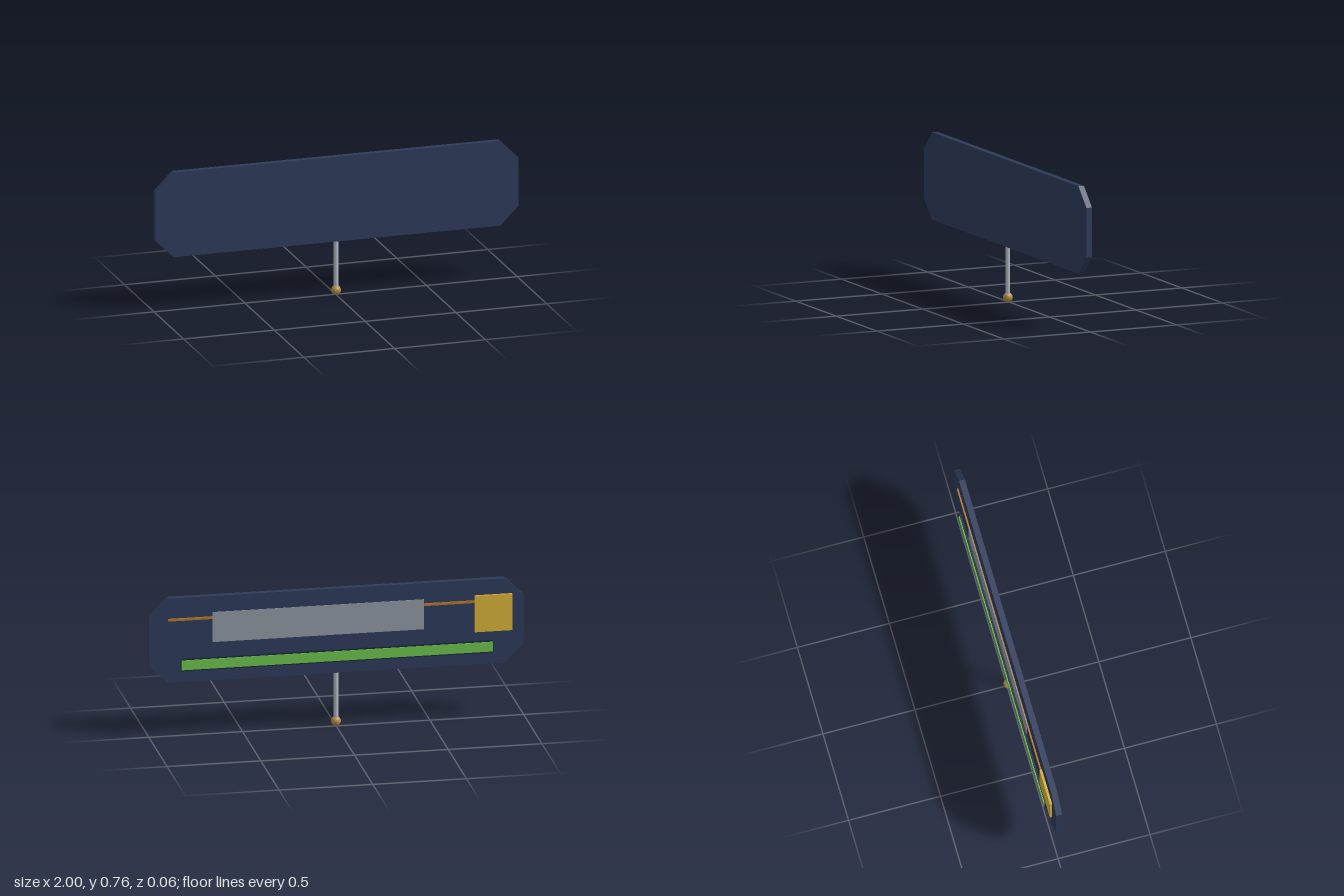
import * as THREE from 'three';

export function createModel() {
  const model = new THREE.Group();

  const add = (name, geometry, color, x = 0, y = 0, z = 0) => {
    const mesh = new THREE.Mesh(geometry, new THREE.MeshStandardMaterial({ color }));
    mesh.name = name;
    mesh.position.set(x, y, z);
    model.add(mesh);
    return mesh;
  };

  // Box given by its limits on each axis
  const addBox = (name, color, [x0, x1], [y0, y1], [z0, z1]) =>
    add(name, new THREE.BoxGeometry(x1 - x0, y1 - y0, z1 - z0), color,
      (x0 + x1) / 2, (y0 + y1) / 2, (z0 + z1) / 2);

  // Main board with clipped corners
  const w = 1, bottom = 0.296, top = 0.761, cut = 0.1;
  const outline = new THREE.Shape([
    [-w + cut, bottom], [w - cut, bottom], [w, bottom + cut], [w, top - cut],
    [w - cut, top], [-w + cut, top], [-w, top - cut], [-w, bottom + cut],
  ].map(([x, y]) => new THREE.Vector2(x, y)));
  add('board', new THREE.ExtrudeGeometry(outline, { depth: 0.032, bevelEnabled: false }),
    0x2c3a5a, 0, 0, -0.01);

  // Hanging rod and ball
  add('rod', new THREE.CylinderGeometry(0.0125, 0.0125, 0.256, 24), 0xb0b8c2, 0, 0.17, 0.007);
  add('ball', new THREE.SphereGeometry(0.026, 24, 16), 0xb08a45, 0, 0.026, 0.007);

  // Fittings on the back
  addBox('rail', 0xb5762a, [-0.9, 0.9], [0.638, 0.651], [-0.022, -0.014]);
  addBox('greyPanel', 0x8d96a0, [-0.465, 0.665], [0.511, 0.676], [-0.0235, -0.0205]);
  addBox('yellowPlate', 0xd4af37, [-0.935, -0.735], [0.478, 0.678], [-0.027, -0.014]);
  addBox('stripTray', 0x1a2438, [-0.835, 0.835], [0.361, 0.427], [-0.026, -0.016]);
  addBox('greenStrip', 0x6abf4b, [-0.83, 0.83], [0.368, 0.421], [-0.031, -0.025]);

  return model;
}
